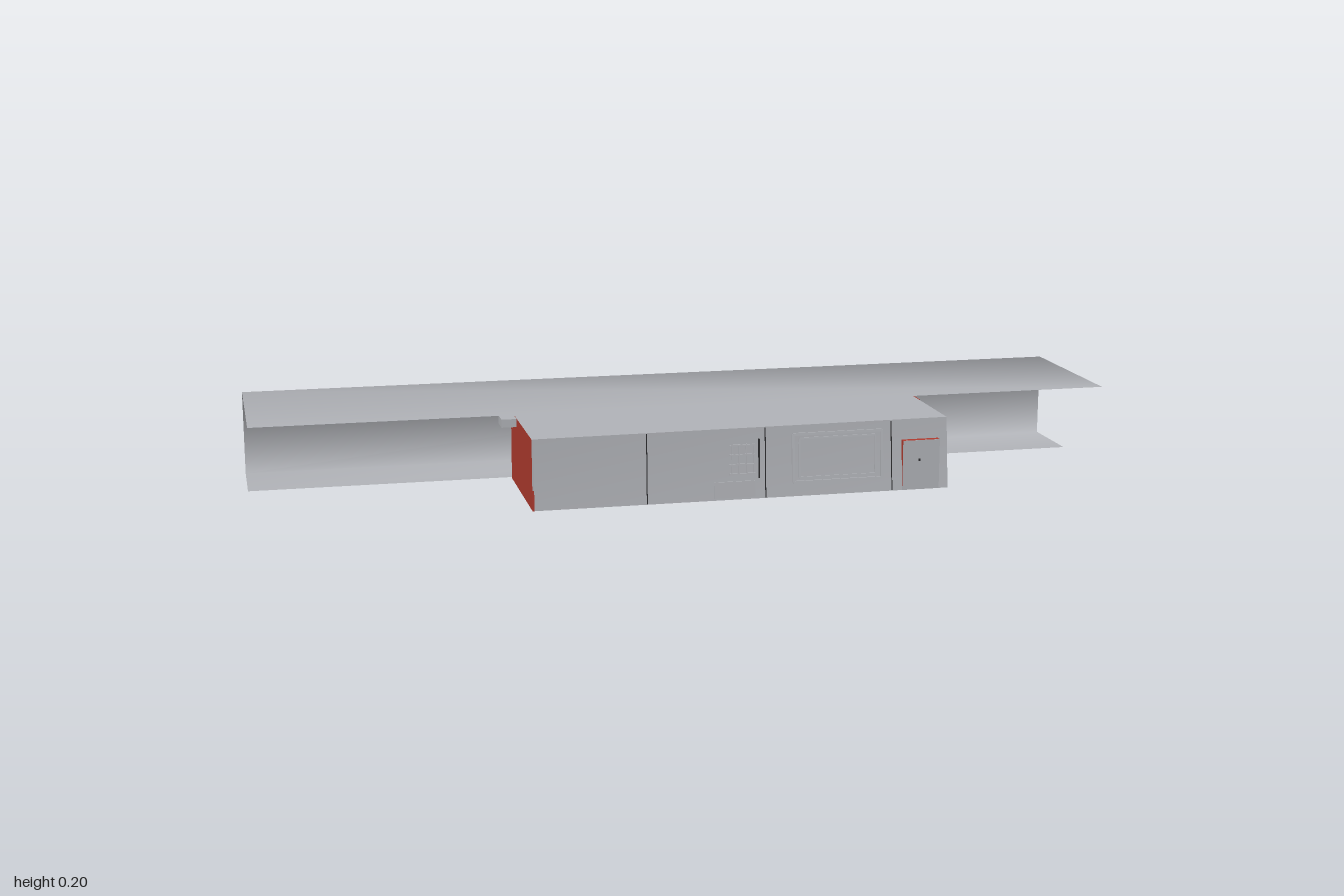
import * as THREE from 'three';

const mat = (name, color, side = THREE.FrontSide) => {
  const m = new THREE.MeshStandardMaterial({ color, side });
  m.name = name;
  return m;
};

export function createModel() {
  const root = new THREE.Group();
  const grey = mat('panelGrey', 0xb2b4b9);
  const shellGrey = mat('shellGrey', 0xb2b4b9, THREE.DoubleSide);
  const red = mat('red', 0xb03a2e);
  const dark = mat('charcoal', 0x2b2b2d);
  const blue = mat('darkBlue', 0x2c3e50);

  const add = (parent, name, geo, material) => {
    const mesh = new THREE.Mesh(geo, material);
    mesh.name = name;
    parent.add(mesh);
    return mesh;
  };
  // Box given by its lower and upper corners
  const block = (parent, name, a, b, material) => {
    const mesh = add(parent, name, new THREE.BoxGeometry(b[0] - a[0], b[1] - a[1], b[2] - a[2]), material);
    mesh.position.set((a[0] + b[0]) / 2, (a[1] + b[1]) / 2, (a[2] + b[2]) / 2);
    return mesh;
  };

  // Outer shell: open C-shaped sheet with smooth normals across its bends
  const profile = [[0.2, 0.165], [0.2, -0.225], [0.003, -0.225], [0.003, -0.05]];
  const pos = [], idx = [];
  profile.forEach(([y, z]) => pos.push(-1, y, z, 1, y, z));
  for (let i = 0; i < 3; i++) {
    const a = 2 * i;
    idx.push(a, a + 1, a + 2, a + 1, a + 3, a + 2);
  }
  const shell = new THREE.BufferGeometry();
  shell.setAttribute('position', new THREE.Float32BufferAttribute(pos, 3));
  shell.setIndex(idx);
  shell.computeVertexNormals();
  add(root, 'outerShell', shell, shellGrey);

  // Main cabin: box with a leaning front, grey skin and red ends
  const L = -0.39, R = 0.58, B = 0.003, T = 0.166;
  const frontTop = x => 0.268 - 0.018 * (x - L) / (R - L);
  const cabin = new THREE.BoxGeometry(R - L, T - B, 0.31);
  cabin.translate((L + R) / 2, (B + T) / 2, 0.115);
  const p = cabin.attributes.position;
  for (let i = 0; i < p.count; i++) {
    const high = p.getY(i) > 0.1;
    if (p.getZ(i) > 0.1) p.setZ(i, high ? frontTop(p.getX(i)) : 0.27);
    else p.setZ(i, high ? -0.037 : -0.04);
  }
  cabin.computeVertexNormals();
  add(root, 'cabin', cabin, [red, red, grey, grey, grey, grey]);

  // Group lying on the leaning front at a given place
  const onFront = (name, x, y) => {
    const g = new THREE.Group();
    const lean = (0.27 - frontTop(x)) / (T - B);
    g.name = name;
    g.position.set(x, y, 0.27 - lean * (y - B));
    g.rotation.x = -Math.atan(lean);
    root.add(g);
    return g;
  };

  // Panel seams
  for (const x of [-0.13, 0.145, 0.445]) {
    block(onFront('panelSeam', x, 0.084), 'seam', [-0.001, -0.08, -0.001], [0.001, 0.08, 0.0006], dark);
  }

  // Window frame
  const win = onFront('windowFrame', 0.315, 0.09);
  const frame = (w, h, t, depth) => {
    for (const s of [-1, 1]) {
      block(win, 'frameSide', [s * w - t, -h, 0], [s * w + t, h, depth], grey);
      block(win, 'frameRail', [-w, s * h - t, 0], [w, s * h + t, depth], grey);
    }
  };
  frame(0.105, 0.055, 0.003, 0.006);
  frame(0.09, 0.045, 0.002, 0.004);

  // Shelf rack with upright handle and low cabinet
  const rack = onFront('rack', 0.095, 0.09);
  for (let i = 0; i < 4; i++) {
    const y = -0.03 + i * 0.022;
    block(rack, 'rackBar', [-0.035, y, 0], [0.025, y + 0.003, 0.005], grey);
    block(rack, 'rackPeg', [-0.03 + i * 0.017, -0.03, 0], [-0.028 + i * 0.017, 0.04, 0.004], grey);
  }
  block(rack, 'handle', [0.033, -0.04, 0], [0.036, 0.05, 0.004], dark);
  block(rack, 'lowCabinet', [-0.07, -0.082, 0], [0.025, -0.045, 0.004], grey);

  // Side door: upright red casing with grey face and knob
  block(root, 'doorCasing', [0.47, B, 0.24], [0.558, 0.119, 0.2695], red);
  block(root, 'doorFace', [0.47, B, 0.2695], [0.558, 0.119, 0.2705], grey);
  block(root, 'doorKnob', [0.507, 0.07, 0.2705], [0.512, 0.076, 0.272], dark);
  // Shallow strip on the back
  block(root, 'backDoor', [0.47, B, -0.042], [0.558, 0.115, -0.03], grey);

  // Front corner trim and end bracket
  block(root, 'cornerTrim', [L, 0.05, 0.25], [L + 0.004, T, 0.27], grey);
  block(root, 'cornerTrimFoot', [L, B, 0.25], [L + 0.004, 0.05, 0.2705], red);
  block(root, 'endBracket', [-0.425, 0.146, 0], [L, 0.165, 0.05], grey);
  block(root, 'endLip', [R, 0.148, 0], [R + 0.004, 0.165, 0.05], red);

  // Hexagon plates under the floor
  for (let i = 0; i < 4; i++) {
    const hex = add(root, 'floorHexagon', new THREE.CylinderGeometry(0.057, 0.057, 0.002, 6), i % 2 ? red : dark);
    hex.position.set(0.413 - i * 0.144, 0.0025, 0.095);
  }
  // Small floor feet
  for (const x of [0.33, 0.12]) {
    block(root, 'floorFoot', [x - 0.01, 0, -0.036], [x + 0.01, 0.004, -0.014], dark);
  }

  // Rear porch with a dark door panel
  block(root, 'rearPorch', [0.362, 0.003, -0.268], [0.534, 0.103, -0.225], grey);
  block(root, 'rearDoorPanel', [0.37, 0.006, -0.27], [0.526, 0.096, -0.267], blue);
  block(root, 'rearDoorHandle', [0.445, 0.048, -0.2705], [0.451, 0.054, -0.269], grey);

  return root;
}
